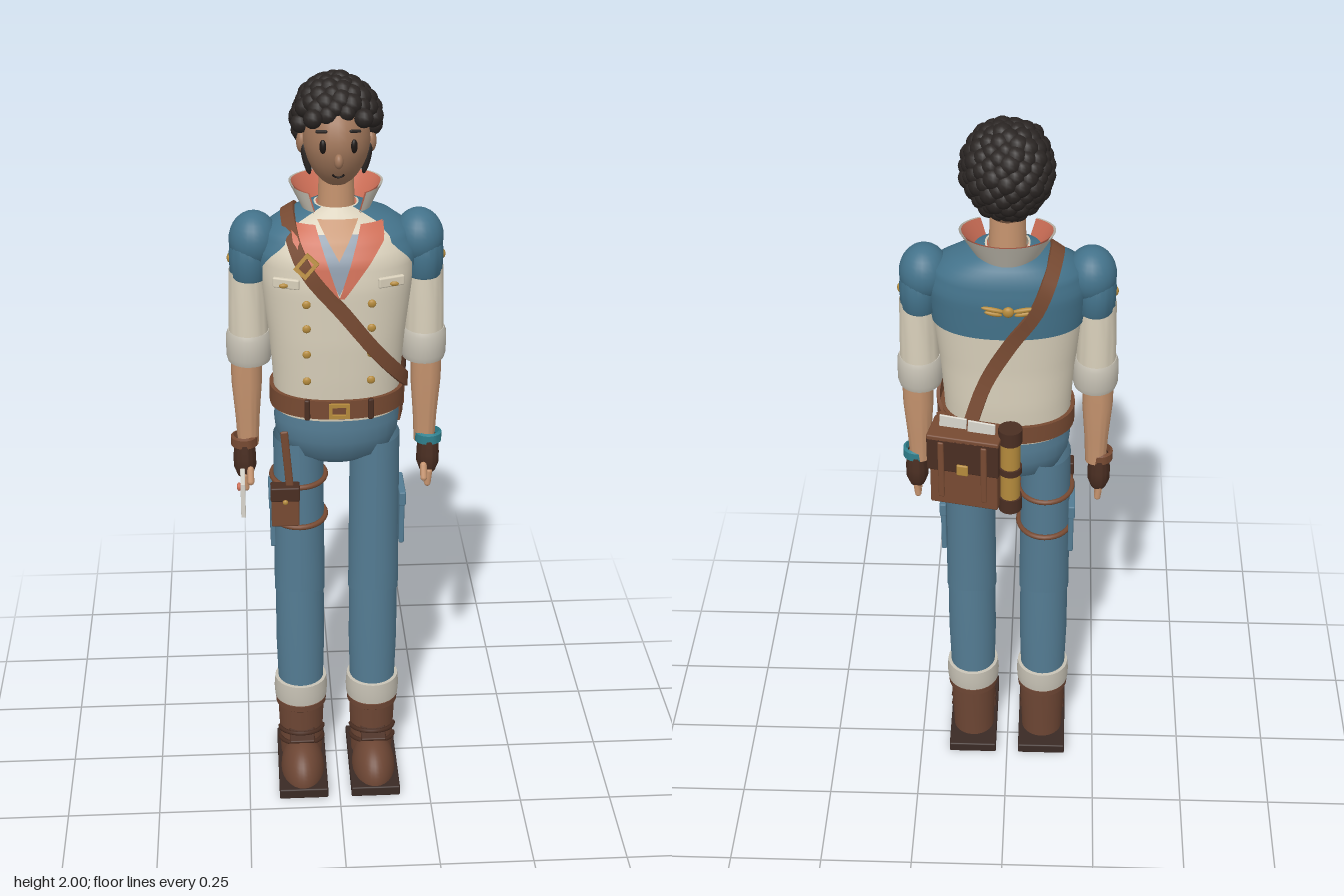
import * as THREE from 'three';
import { mergeGeometries, toCreasedNormals } from 'three/addons/utils/BufferGeometryUtils.js';
import { RoundedBoxGeometry } from 'three/addons/geometries/RoundedBoxGeometry.js';

const mat = (color) => new THREE.MeshStandardMaterial({ color, side: THREE.DoubleSide });
const M = {
  cream: mat(0xd8cfba), cuff: mat(0xc4bfb2), blue: mat(0x43728a), denim: mat(0x547c93), brown: mat(0x774a32),
  dark: mat(0x4a2e22), boot: mat(0x6d4634), sole: mat(0x3a2a25), skin: mat(0xc5936e), face: mat(0xa0765a),
  coral: mat(0xd07058), hair: mat(0x2a2523), gold: mat(0xb48a3c), grey: mat(0x8f9dac), teal: mat(0x2f7f8c),
  black: mat(0x1c1614), paper: mat(0xd9d6cd),
};
const V = (x, y, z) => new THREE.Vector3(x, y, z);
const lerp = THREE.MathUtils.lerp;

// Torso sections: height, half width, front z, back z
const rows = [[1.14, .158, .135, -.093], [1.25, .164, .143, -.1], [1.35, .172, .148, -.1], [1.5, .19, .149, -.106],
  [1.57, .195, .138, -.108], [1.62, .175, .11, -.1], [1.65, .13, .08, -.085], [1.68, .05, .05, -.05]];
function section(y) {
  let i = 0;
  while (i < rows.length - 2 && y > rows[i + 1][0]) i++;
  const t = THREE.MathUtils.clamp((y - rows[i][0]) / (rows[i + 1][0] - rows[i][0]), 0, 1);
  return rows[i].map((n, k) => lerp(n, rows[i + 1][k], t));
}
const bow = (n) => Math.sign(n) * Math.abs(n) ** 0.87;
// Point on the torso at an angle (0 = front), pushed outwards
function around(a, y, off = 0) {
  const [, hx, f, b] = section(y);
  return V((hx + off) * bow(Math.sin(a)), y, (f + b) / 2 + ((f - b) / 2 + off) * bow(Math.cos(a)));
}
// Point on the front of the torso at a given x
function onChest(x, y, off = 0) {
  const s = THREE.MathUtils.clamp(x / section(y)[1], -0.98, 0.98);
  const p = around(Math.asin(Math.sign(s) * Math.abs(s) ** (1 / 0.87)), y, off);
  return V(x, y, p.z);
}

// Surface from a rule over u, v in 0..1
function sheet(fn, nu, nv) {
  const g = new THREE.PlaneGeometry(1, 1, nu, nv), p = g.attributes.position, uv = g.attributes.uv;
  for (let i = 0; i < p.count; i++) p.setXYZ(i, ...fn(uv.getX(i), uv.getY(i)).toArray());
  g.computeVertexNormals();
  return g;
}
// Flat strap with thickness along a path; normals point away from an inner centre
function band(points, width, thick, centre, closed = false) {
  const c = new THREE.CatmullRomCurve3(points, closed);
  const corner = [[-1, 0], [1, 0], [1, 1], [-1, 1], [-1, 0]];
  const g = sheet((u, v) => {
    const p = c.getPoint(v), t = c.getTangent(v), n = p.clone().sub(centre(p)).normalize();
    const s = t.clone().cross(n).normalize(), [a, b] = corner[Math.round(u * 4)];
    return p.addScaledVector(s, a * width / 2).addScaledVector(n, b * thick);
  }, 4, 48);
  return toCreasedNormals(g, 0.7);
}
const lathe = (pts) => toCreasedNormals(new THREE.LatheGeometry(pts.map((p) => new THREE.Vector2(...p)), 28), 0.8);
const box = (w, h, d, r = 0.004) => new RoundedBoxGeometry(w, h, d, 2, r);
const ball = new THREE.SphereGeometry(1, 24, 16);
const cyl = (r1, r2, h) => new THREE.CylinderGeometry(r1, r2, h, 20);

export function createModel() {
  const model = new THREE.Group();
  const group = (name, parent = model) => { const g = new THREE.Group(); g.name = name; parent.add(g); return g; };
  function add(parent, name, geo, m, pos = [0, 0, 0], scale = [1, 1, 1], rot = [0, 0, 0]) {
    const mesh = new THREE.Mesh(geo, m);
    mesh.name = name;
    mesh.position.set(...pos); mesh.scale.set(...scale); mesh.rotation.set(...rot);
    parent.add(mesh);
    return mesh;
  }

  // Legs and boots
  for (const s of [-1, 1]) {
    const leg = group(s > 0 ? 'leftLeg' : 'rightLeg');
    leg.position.set(s * 0.1, 0, 0.018);
    add(leg, 'sole', box(.135, .03, .29), M.sole, [0, .015, .047]);
    add(leg, 'bootToe', new THREE.SphereGeometry(1, 28, 12, 0, Math.PI * 2, 0, Math.PI / 2), M.boot, [0, .028, .082], [.06, .088, .105]);
    add(leg, 'bootShaft', lathe([[.058, .03], [.06, .1], [.064, .2], [.07, .205], [.07, .222], [.06, .225]]), M.boot);
    add(leg, 'bootTongue', box(.07, .01, .06), M.dark, [0, .128, .066], [1, 1, 1], [.35, 0, 0]);
    for (const y of [.085, .12]) add(leg, 'bootStrap', new THREE.TorusGeometry(.06, .006, 8, 28, Math.PI), M.dark, [0, y, .012], [1, 1.1, 1], [Math.PI / 2 - .25, 0, 0]);
    add(leg, 'trouserCuff', lathe([[.06, .22], [.072, .226], [.074, .255], [.071, .288], [.06, .29]]), M.cuff);
    add(leg, 'shin', lathe([[.062, .27], [.066, .42], [.065, .62]]), M.denim);
    // knee edge dips at the sides
    const thigh = sheet((u, v) => {
      const a = u * Math.PI * 2, y = lerp(.59 + .012 * Math.cos(2 * a), 1.05, v), r = lerp(.068, .065, v);
      return V(r * Math.sin(a), y, (r + lerp(0, .015, v)) * Math.cos(a) - .004 * v);
    }, 32, 8);
    add(leg, 'thigh', thigh, M.denim);
    add(leg, 'sidePocket', box(.014, .15, .11), M.denim, [s * .07, .815, .002]);
    add(leg, 'pocketFlap', box(.018, .04, .116), M.denim, [s * .071, .875, .002]);
  }
  add(model, 'hips', lathe([[0, .985], [.08, .99], [.135, 1.02], [.158, 1.07], [.162, 1.11], [.155, 1.17]]), M.denim, [0, 0, .02], [1, 1, .68]);

  // Thigh pouch on the right leg
  const rig = group('thighPouch');
  for (const y of [.81, .93]) add(rig, 'thighStrap', new THREE.TorusGeometry(.071, .007, 8, 32), M.brown, [-.1, y, .018], [1, 1.13, 1], [Math.PI / 2, 0, 0]);
  add(rig, 'pouch', box(.072, .11, .035), M.brown, [-.138, .885, .108]);
  add(rig, 'pouchFlap', box(.076, .04, .04), M.dark, [-.138, .925, .108]);
  add(rig, 'pouchStud', ball, M.gold, [-.138, .905, .13], [.007, .007, .005]);
  add(rig, 'pouchHanger', box(.02, .17, .008), M.brown, [-.132, 1.02, .112], [1, 1, 1], [.05, 0, .08]);

  // Torso, yoke and collar
  const T = group('torso');
  add(T, 'vest', sheet((u, v) => around(u * Math.PI * 2, lerp(1.14, 1.68, v)), 48, 28), M.cream);
  add(T, 'yoke', sheet((u, v) => {
    const a0 = lerp(1.7, .72, Math.min(1, v * 1.6));
    return around(lerp(a0, Math.PI * 2 - a0, u), lerp(1.47, 1.68, v), .005);
  }, 48, 14), M.blue);
  add(T, 'undershirt', sheet((u, v) => { const y = lerp(1.49, 1.63, v); return onChest((u - .5) * .13 * v, y, .005); }, 10, 10), M.grey);
  add(T, 'openNeck', sheet((u, v) => { const y = lerp(1.575, 1.66, v); return onChest((u - .5) * .1 * v, y, .009); }, 10, 8), M.skin);
  for (const s of [-1, 1]) {
    add(T, 'lapel', sheet((u, v) => {
      const y = lerp(1.485, 1.65, v), inner = .055 * v, outer = .012 + .1 * Math.min(1, v * 1.25);
      return onChest(s * lerp(inner, outer, u), y, .012);
    }, 6, 14), M.coral);
    add(T, 'chestFlap', box(.068, .026, .012), M.cream, [s * .128, 1.515, .124], [1, 1, 1], [0, s * .35, 0]);
    add(T, 'flapStud', ball, M.gold, [s * .135, 1.512, .133], [.011, .006, .005]);
    for (const y of [1.255, 1.33, 1.4, 1.465]) add(T, 'button', ball, M.gold, onChest(s * .08, y, .003).toArray(), [.0105, .0105, .006]);
  }
  const collar = (k) => sheet((u, v) => {
    const a = lerp(.65, Math.PI * 2 - .65, u), drop = .03 * Math.max(0, Math.cos(a));
    return V(lerp(.072, .116, v) * k * Math.sin(a), lerp(1.648, 1.727, v) - drop * (1 - v * .6), lerp(-.005, -.02, v) + lerp(.072, .092, v) * k * Math.cos(a));
  }, 36, 6);
  add(T, 'collarOutside', collar(1), M.cuff);
  add(T, 'collarLining', collar(.95), M.coral);
  add(T, 'neck', cyl(.042, .048, .16), M.skin, [0, 1.69, .005]);

  // Belt
  const B = group('belt');
  const ring = [...Array(24)].map((_, i) => around(i / 24 * Math.PI * 2, 1.178, .002));
  add(B, 'beltStrap', band(ring, .05, .01, (p) => V(0, p.y, .02), true), M.brown);
  const frame = new THREE.Shape([[-.026, -.02], [.026, -.02], [.026, .02], [-.026, .02]].map((p) => new THREE.Vector2(...p)));
  frame.holes.push(new THREE.Path([[-.017, -.011], [-.017, .011], [.017, .011], [.017, -.011]].map((p) => new THREE.Vector2(...p))));
  const buckle = new THREE.ExtrudeGeometry(frame, { depth: .008, bevelEnabled: false });
  add(B, 'beltBuckle', buckle, M.gold, [0, 1.178, .15]);
  for (const x of [-.08, .08]) add(B, 'beltLoop', box(.014, .056, .012), M.dark, [x, 1.178, .142], [1, 1, 1], [0, x * 4, 0]);
  add(B, 'hipPouch', box(.03, .1, .08), M.brown, [.15, 1.15, -.065], [1, 1, 1], [0, .5, 0]);

  // Shoulder strap: chest, over the shoulder, down to the bag
  const path = [V(.15, 1.17, -.06), V(.174, 1.2, .02), V(.155, 1.245, .085), onChest(.09, 1.335, .004), onChest(.01, 1.445, .005), onChest(-.08, 1.555, .005),
    V(-.112, 1.63, .07), V(-.118, 1.66, 0), V(-.1, 1.62, -.088), V(-.07, 1.55, -.11), V(-.01, 1.46, -.113), V(.05, 1.35, -.118), V(.09, 1.23, -.135)];
  add(model, 'shoulderStrap', band(path, .036, .009, (p) => V(p.x * .4, Math.min(p.y, 1.54), .02)), M.brown);
  add(model, 'strapBuckle', buckle, M.gold, [-.078, 1.565, .14], [1, 1, 1.3], [-.25, -.25, .85]);

  // Brooch on the back
  const brooch = group('backBrooch');
  add(brooch, 'broochStud', ball, M.gold, [-.005, 1.555, -.117], [.014, .014, .009]);
  for (const s of [-1, 1]) for (const k of [0, 1]) add(brooch, 'broochLeaf', ball, M.gold, [s * .036 - .005, 1.56 - k * .011, -.115], [.03 - k * .008, .006, .006], [0, 0, s * .2]);

  // Satchel and scroll tube behind the left hip
  const bag = group('satchel');
  bag.position.set(.098, 1.125, -.153); bag.rotation.y = -.2;
  add(bag, 'bagBody', box(.175, .2, .07), M.brown, [0, -.01, 0]);
  add(bag, 'bagFlap', box(.185, .1, .018), M.dark, [0, .05, -.036]);
  add(bag, 'bagLid', box(.185, .016, .09), M.brown, [0, .098, 0]);
  add(bag, 'bagClasp', box(.03, .032, .01), M.gold, [0, .012, -.045]);
  for (const x of [-.055, .055]) add(bag, 'bagStrap', box(.016, .17, .008), M.brown, [x, .005, -.045]);
  for (const x of [-.04, .035]) add(bag, 'papers', box(.07, .045, .006, .002), M.paper, [x, .115, x * .1], [1, 1, 1], [0, 0, .04]);
  const tube = group('scrollTube');
  tube.position.set(-.012, 1.125, -.17);
  add(tube, 'tubeBody', cyl(.025, .025, .22), M.gold);
  for (const y of [-.105, 0, .105]) add(tube, 'tubeBand', cyl(.03, .03, y ? .04 : .018), M.dark, [0, y, 0]);

  // Arms
  for (const s of [-1, 1]) {
    const arm = group(s > 0 ? 'leftArm' : 'rightArm');
    arm.position.set(s * .222, 0, .012);
    add(arm, 'shoulder', ball, M.blue, [-s * .018, 1.588, 0], [.062, .072, .068]);
    add(arm, 'upperSleeve', lathe([[.047, 1.495], [.049, 1.5], [.051, 1.55], [.045, 1.6], [.025, 1.635], [0, 1.645]]), M.blue, [-s * .006, 0, 0], [1, 1, 1.3]);
    add(arm, 'sleeve', lathe([[.05, 1.33], [.049, 1.42], [.046, 1.51]]), M.cream, [0, 0, 0], [1, 1, 1.15]);
    add(arm, 'rolledCuff', lathe([[.042, 1.267], [.054, 1.265], [.058, 1.28], [.057, 1.335], [.052, 1.347], [.044, 1.346]]), M.cuff, [0, 0, 0], [1, 1, 1.1]);
    add(arm, 'sleeveStud', ball, M.gold, [s * .042, 1.54, 0], [.008, .012, .012]);
    add(arm, 'forearm', lathe([[.027, 1.02], [.031, 1.1], [.039, 1.2], [.04, 1.3]]), M.skin, [s * .008, 0, 0]);
    const hand = group('hand', arm);
    hand.position.set(s * .018, 0, .006);
    add(hand, 'wristband', lathe([[.028, 1.02], [.035, 1.022], [.035, 1.046], [.028, 1.05]]), s > 0 ? M.teal : M.brown);
    add(hand, 'glove', lathe([[0, .932], [.022, .936], [.031, .96], [.031, .99], [.027, 1.03]]), M.dark, [0, 0, 0], [.95, 1, 1.3]);
    for (let i = 0; i < 4; i++) add(hand, 'finger', new THREE.CapsuleGeometry(.0088, .035, 4, 10), M.skin, [0, .925 - .006 * (1 - Math.abs(i - 1.5) / 1.5), -.022 + i * .0175], [1, 1, 1], [0, 0, -s * .1]);
    add(hand, 'thumb', new THREE.CapsuleGeometry(.009, .032, 4, 10), M.skin, [-s * .014, .95, .045], [1, 1, 1], [-.45, 0, 0]);
  }
  add(model, 'letter', box(.012, .1, .085, .002), M.paper, [-.247, .92, .1]);
  add(model, 'letterSeal', ball, M.coral, [-.257, .925, .075], [.006, .011, .011]);

  // Head
  const H = group('head');
  const skull = ball.clone(), sp = skull.attributes.position;
  for (let i = 0; i < sp.count; i++) { // narrower jaw
    const k = sp.getY(i) < 0 ? 1 + .12 * sp.getY(i) : 1;
    sp.setXYZ(i, sp.getX(i) * k, sp.getY(i), sp.getZ(i) * k);
  }
  skull.computeVertexNormals();
  add(H, 'face', skull, M.face, [0, 1.843, .018], [.082, .114, .102]);
  add(H, 'nose', ball, M.face, [0, 1.82, .12], [.011, .018, .015]);
  add(H, 'mouth', new THREE.TorusGeometry(.016, .0025, 6, 12, 2), M.black, [0, 1.79, .105], [1, 1, 1], [.25, 0, Math.PI + .57]);
  for (const s of [-1, 1]) {
    add(H, 'eye', ball, M.black, [s * .037, 1.853, .108], [.0085, .017, .007], [0, s * .4, 0]);
    add(H, 'brow', new THREE.CapsuleGeometry(.004, .022, 4, 8), M.hair, [s * .04, 1.888, .102], [1, 1, 1], [0, s * .4, Math.PI / 2 - s * .12]);
    add(H, 'ear', ball, M.face, [s * .084, 1.835, .012], [.013, .027, .019]);
    add(H, 'sideburn', ball, M.hair, [s * .074, 1.80, .022], [.01, .045, .014], [0, 0, s * -.2]);
  }
  // Curls spread over the scalp, leaving the face and ears free
  let seed = 7;
  const rand = () => (seed = (seed * 16807) % 2147483647) / 2147483647;
  const curls = [], n = 170;
  for (let i = 0; i < n; i++) {
    const h = 1 - 2 * (i + .5) / n, r = Math.sqrt(1 - h * h), a = i * 2.39996;
    const p = V(r * Math.sin(a) * .091, 1.877 + h * .098, r * Math.cos(a) * .098 - .003);
    const size = .021 + rand() * .007;
    const limit = p.z > .03 ? 1.92 : p.z > -.012 ? 1.872 : 1.775;
    if (p.y > limit) curls.push(new THREE.SphereGeometry(size, 12, 8).translate(p.x, p.y, p.z));
  }
  for (const s of [-1, 1]) curls.push(new THREE.SphereGeometry(.023, 12, 8).translate(s * .06, 1.918, .1));
  add(H, 'curls', mergeGeometries(curls), M.hair);
  add(H, 'scalp', ball, M.hair, [0, 1.885, -.014], [.088, .096, .09]);
  return model;
}
